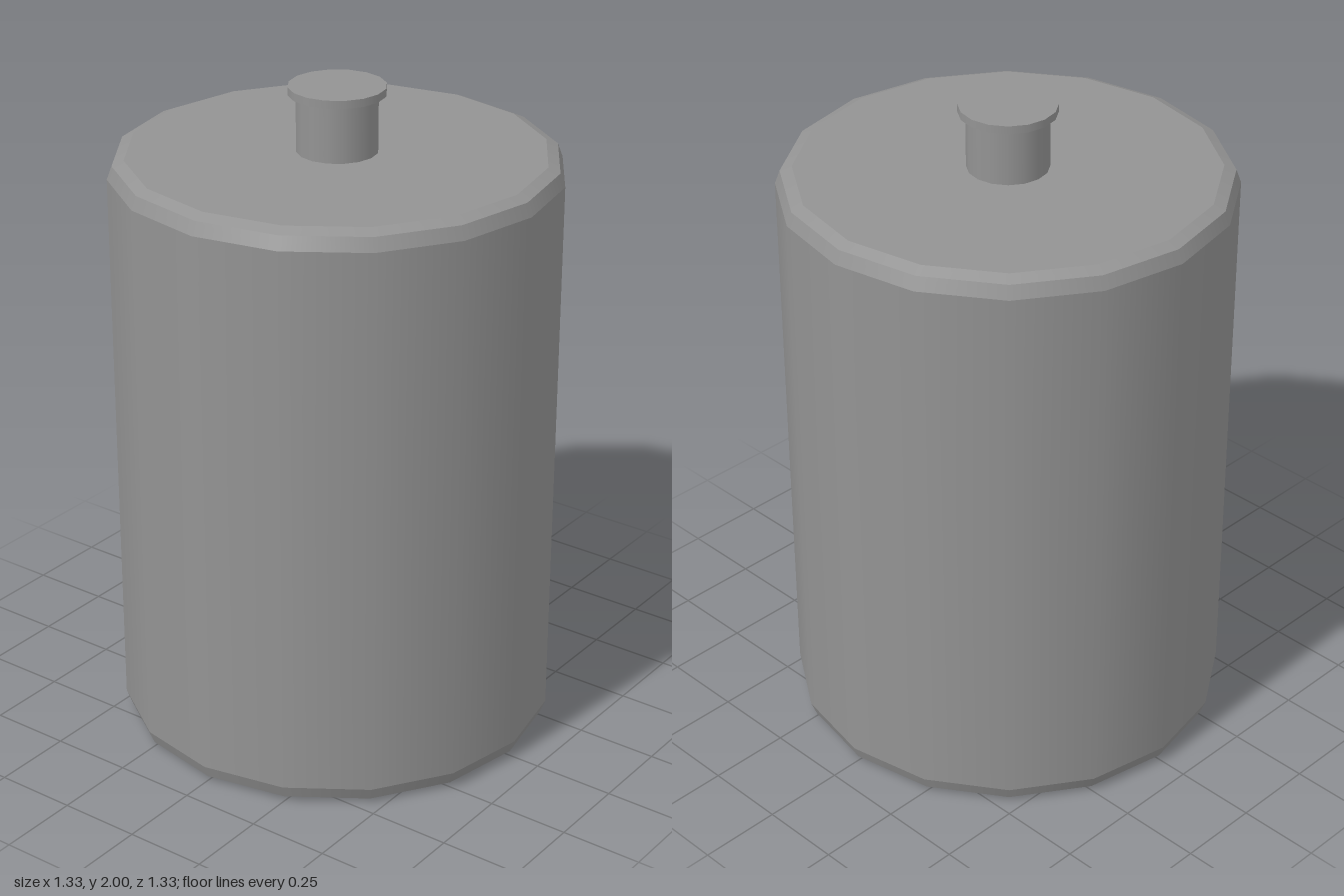
import * as THREE from 'three';
import { mergeGeometries } from 'three/addons/utils/BufferGeometryUtils.js';

const SIDES = 16;

// Turned part from a bottom-to-top profile of [radius, height] pairs.
// Each band is turned on its own: smooth around the axis, sharp at the rims.
function turned(name, profile, material) {
  const points = profile.map(([r, y]) => new THREE.Vector2(r, y));
  const bands = points.slice(1).map((p, i) => new THREE.LatheGeometry([points[i], p], SIDES));
  const mesh = new THREE.Mesh(mergeGeometries(bands), material);
  mesh.name = name;
  return mesh;
}

export function createModel() {
  const model = new THREE.Group();
  model.name = 'canister';
  const darkGrey = new THREE.MeshStandardMaterial({ color: 0x939393 });

  // Main body with two-step bevels at the bottom and top rims
  model.add(turned('body', [
    [0, 0], [0.615, 0], [0.65, 0.015], [0.665, 0.055],
    [0.665, 1.75], [0.65, 1.79], [0.615, 1.805], [0, 1.805],
  ], darkGrey));

  // Short neck rising from the top, with a thin wider cap
  model.add(turned('neck', [[0, 1.8], [0.12, 1.8], [0.12, 1.978], [0, 1.978]], darkGrey));
  model.add(turned('cap', [[0, 1.976], [0.143, 1.976], [0.143, 2], [0, 2]], darkGrey));

  return model;
}
